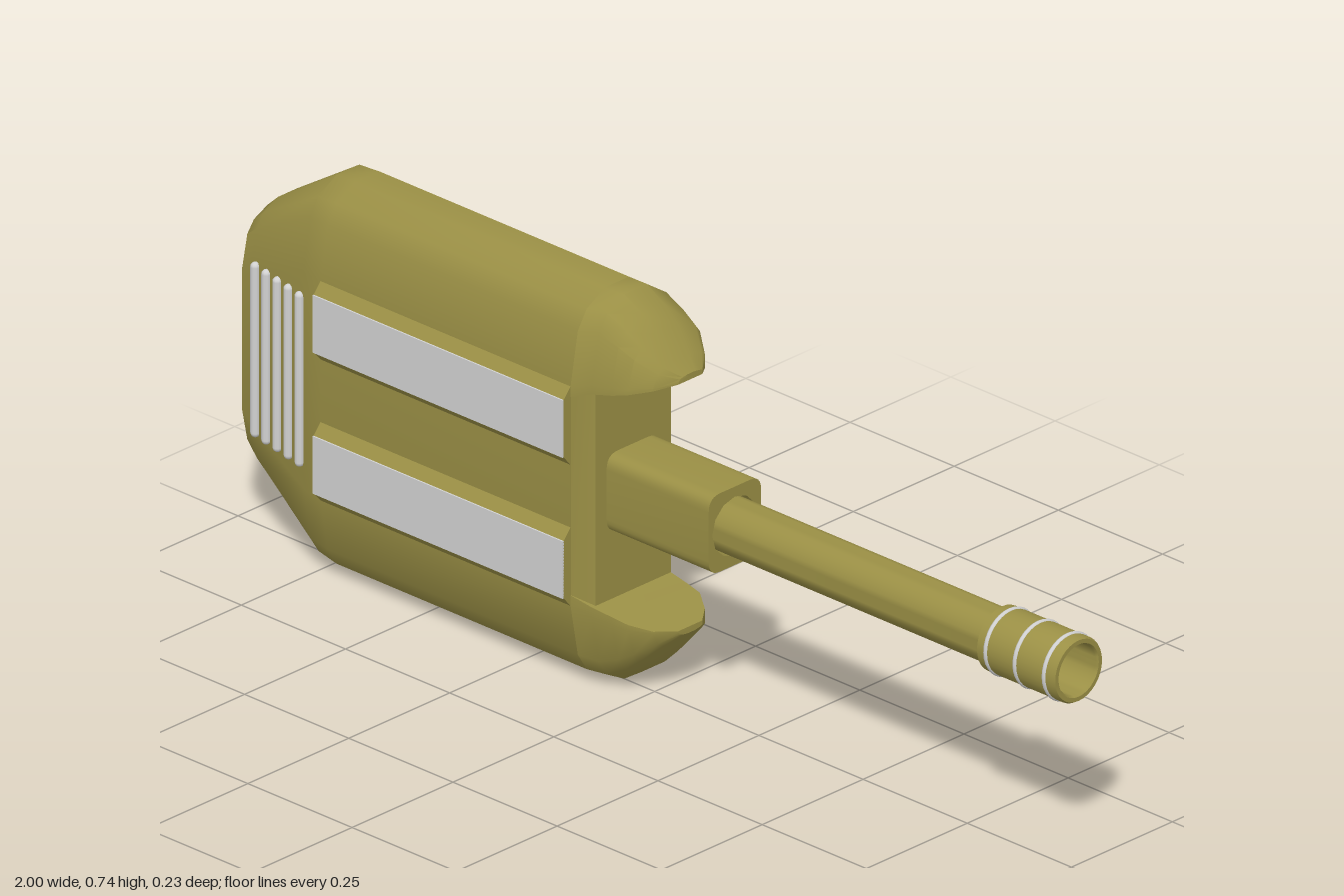
import * as THREE from 'three';
import { toCreasedNormals } from 'three/addons/utils/BufferGeometryUtils.js';

const MID = 0.37; // height of the symmetry plane
const olive = new THREE.MeshStandardMaterial({ color: 0x9a8f45 });
olive.name = 'olive';
const silver = new THREE.MeshStandardMaterial({ color: 0xd2d2d2 });
silver.name = 'silver';

// Skin cross-sections { x, pts: [[y, z], ...] } along x, closed at both ends
function loft(sections, crease = 0.6) {
  const n = sections[0].pts.length;
  const area = sections[0].pts.reduce((s, [y, z], i, p) => {
    const [y2, z2] = p[(i + 1) % n];
    return s + y * z2 - y2 * z;
  }, 0);
  const pos = [], idx = [];
  for (const { x, pts } of sections) {
    const loop = area < 0 ? [...pts].reverse() : pts;
    for (const [y, z] of loop) pos.push(x, y, z);
  }
  const last = sections.length - 1;
  for (let i = 0; i < last; i++) for (let j = 0; j < n; j++) {
    const a = i * n + j, b = i * n + (j + 1) % n;
    idx.push(a, b, a + n, b, b + n, a + n);
  }
  for (const s of [0, last]) {
    const c = pos.length / 3, pts = sections[s].pts;
    pos.push(sections[s].x, pts.reduce((t, p) => t + p[0], 0) / n, pts.reduce((t, p) => t + p[1], 0) / n);
    for (let j = 0; j < n; j++) {
      const a = s * n + j, b = s * n + (j + 1) % n;
      if (s) idx.push(c, a, b); else idx.push(c, b, a);
    }
  }
  const g = new THREE.BufferGeometry();
  g.setAttribute('position', new THREE.Float32BufferAttribute(pos, 3));
  g.setIndex(idx);
  return toCreasedNormals(g, crease);
}

const Z0 = -0.112, Z1 = 0.095;
const mapZ = (z, back, front) => back + (z - Z0) / (Z1 - Z0) * (front - back);

// Outer rim of the hull section: [distance from the symmetry plane, z]
const rim = [[0.21, Z1], [0.31, 0.077], [0.345, 0.055], [0.37, 0.01], [0.37, -0.05], [0.335, -0.1], [0.31, Z0]];

function hullSection([x, half, back, front]) {
  const k = half / 0.37;
  const top = rim.map(([d, z]) => [MID + d * k, mapZ(z, back, front)]);
  const low = rim.map(([d, z]) => [MID - d * k, mapZ(z, back, front)]).reverse();
  return { x, pts: [...top, ...low] };
}

function hornSection([x, inner, outer, back, front], side) {
  const pts = [[0.19, Z1], ...rim, [0.19, Z0]].map(([d, z]) =>
    [MID + side * (inner + (d - 0.19) / 0.18 * (outer - inner)), mapZ(z, back, front)]);
  return { x, pts };
}

export function createModel() {
  const group = new THREE.Group();
  const add = (name, geometry, material) => {
    const mesh = new THREE.Mesh(geometry, material);
    mesh.name = name;
    group.add(mesh);
    return mesh;
  };

  // Hull: x, half height, back z, front z
  add('hull', loft([
    [-1, 0.08, -0.075, -0.03],
    [-0.975, 0.16, -0.098, 0.006],
    [-0.95, 0.235, -0.112, 0.042],
    [-0.92, 0.262, -0.112, 0.05],
    [-0.76, 0.365, -0.112, 0.086],
    [-0.71, 0.37, -0.112, 0.095],
    [-0.11, 0.37, -0.112, 0.095],
  ].map(hullSection)), olive);

  // Bevelled hull end between the horns
  const endPts = front => [[MID + 0.21, front], [MID + 0.21, Z0], [MID - 0.21, Z0], [MID - 0.21, front]];
  add('hullEnd', loft([{ x: -0.13, pts: endPts(0.094) }, { x: -0.11, pts: endPts(0.094) },
    { x: -0.07, pts: endPts(0.074) }]), olive);

  for (const side of [1, -1]) {
    // Tapering horns: x, inner, outer, back z, front z
    add('horn', loft([
      [-0.11, 0.19, 0.37, -0.112, 0.095],
      [-0.07, 0.204, 0.368, -0.112, 0.083],
      [-0.03, 0.212, 0.342, -0.112, 0.075],
      [0, 0.22, 0.312, -0.112, 0.066],
      [0.035, 0.23, 0.272, -0.088, 0.04],
      [0.056, 0.236, 0.248, -0.06, 0],
    ].map(r => hornSection(r, side))), olive);

    // Raised rib with a pale plate on top
    const rib = [[0.06, 0.085], [0.06, 0.095], [0.08, 0.112], [0.19, 0.112], [0.21, 0.095], [0.21, 0.085]]
      .map(([d, z]) => [MID + side * d, z]);
    add('rib', loft([{ x: -0.71, pts: rib }, { x: -0.11, pts: rib }], 0.3), olive);
    add('ribPlate', new THREE.BoxGeometry(0.6, 0.11, 0.004), silver)
      .position.set(-0.41, MID + side * 0.135, 0.113);
  }

  // Vent bars on the sloping rear deck
  for (let i = 0; i < 5; i++) {
    const x = -0.905 + i * 0.034;
    add('ventBar', new THREE.CapsuleGeometry(0.009, 0.317, 4, 10), silver)
      .position.set(x, MID, 0.05 + (x + 0.92) * 0.225 + 0.002);
  }

  // Gun, built about its own axis
  const gun = new THREE.Group();
  gun.name = 'gun';
  gun.position.set(0, MID, -0.018);
  group.add(gun);
  const addGun = (name, geometry, material) => {
    const mesh = add(name, geometry, material);
    gun.add(mesh);
    return mesh;
  };

  // Rounded square sleeve with a bore for the barrel
  const w = 0.065, h = 0.075, r = 0.028;
  const shape = new THREE.Shape();
  shape.moveTo(-w + r, -h).lineTo(w - r, -h).quadraticCurveTo(w, -h, w, -h + r)
    .lineTo(w, h - r).quadraticCurveTo(w, h, w - r, h)
    .lineTo(-w + r, h).quadraticCurveTo(-w, h, -w, h - r)
    .lineTo(-w, -h + r).quadraticCurveTo(-w, -h, -w + r, -h);
  shape.holes.push(new THREE.Path().absarc(0, 0, 0.056, 0, Math.PI * 2, true));
  const sleeve = new THREE.ExtrudeGeometry(shape, { depth: 0.285, bevelEnabled: false, curveSegments: 6 });
  sleeve.rotateY(Math.PI / 2).translate(-0.11, 0, 0);
  addGun('sleeve', toCreasedNormals(sleeve, 0.6), olive);

  // Barrel, widened muzzle and open bore in one profile (radius, x)
  const profile = [[0.051, -0.1], [0.051, 0.81], [0.061, 0.815], [0.061, 0.995], [0.058, 1],
    [0.05, 1], [0.047, 0.995], [0.047, 0.72], [0, 0.72]].map(([a, b]) => new THREE.Vector2(a, b));
  const barrel = new THREE.LatheGeometry(profile, 32);
  barrel.rotateZ(-Math.PI / 2);
  addGun('barrel', toCreasedNormals(barrel, 0.6), olive);

  // Pale muzzle rings
  for (const x of [0.835, 0.905, 0.975]) {
    const ring = addGun('muzzleRing', new THREE.TorusGeometry(0.059, 0.005, 8, 32), silver);
    ring.rotation.y = Math.PI / 2;
    ring.position.x = x;
  }
  return group;
}
